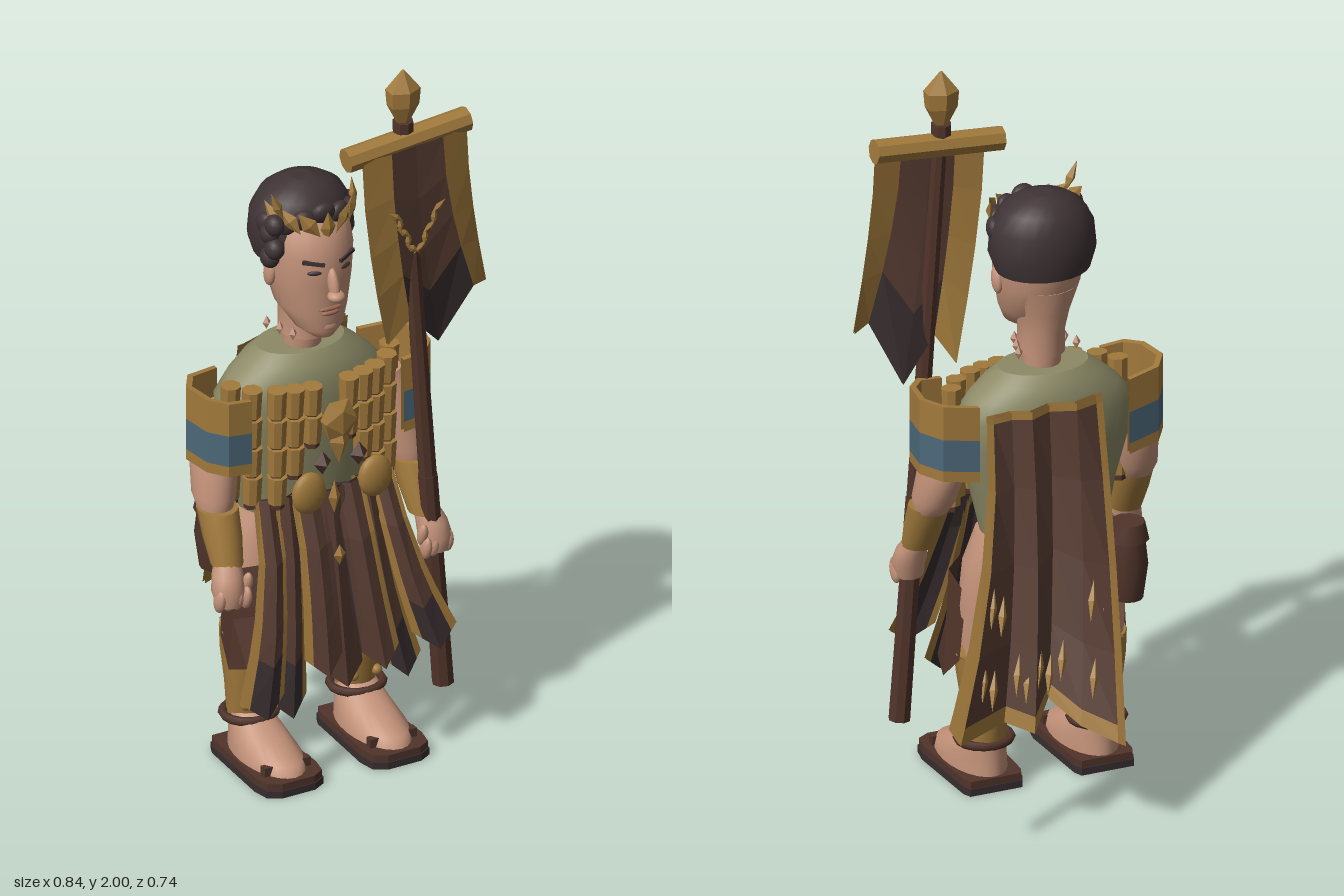
import * as THREE from 'three';

const mat = (name, color) => Object.assign(new THREE.MeshStandardMaterial({ color, side: THREE.DoubleSide }), { name });
const CX = -0.065; // body centre line

export function createModel() {
  const root = new THREE.Group();
  root.name = 'standardBearer';
  const skin = mat('skin', 0xc4937a), hair = mat('hair', 0x3f3335), gold = mat('gold', 0xa27a3c),
    brown = mat('brownCloth', 0x573c32), dark = mat('darkCloth', 0x382d2f), green = mat('greenTunic', 0x8c8a66),
    blue = mat('blueBand', 0x4c687a), leather = mat('leather', 0x50342a), lip = mat('lips', 0xa06a58);

  const add = (name, geo, m, p = [0, 0, 0], s = [1, 1, 1], r = [0, 0, 0]) => {
    const o = new THREE.Mesh(geo, m);
    o.name = name;
    o.position.set(...p); o.scale.set(...s); o.rotation.set(...r);
    root.add(o);
    return o;
  };
  const ball = new THREE.SphereGeometry(1, 16, 12);
  const gem = new THREE.OctahedronGeometry(1);
  const box = new THREE.BoxGeometry(1, 1, 1);

  // smooth closed body from ascending rings [y, cx, cz, rx, rz]
  const loft = (name, rings, m, seg = 24) => {
    const a = rings[0], b = rings[rings.length - 1];
    const all = [[a[0], a[1], a[2], 0, 0], a, ...rings, b, [b[0], b[1], b[2], 0, 0]];
    const pos = [], idx = [];
    all.forEach(([y, cx, cz, rx, rz], i) => {
      for (let j = 0; j < seg; j++) {
        const t = j / seg * Math.PI * 2;
        pos.push(cx + rx * Math.cos(t), y, cz + rz * Math.sin(t));
        if (i === all.length - 1 || i === 1 || i === all.length - 3) continue;
        const p = i * seg + j, q = i * seg + (j + 1) % seg;
        idx.push(p, p + seg, q, q, p + seg, q + seg);
      }
    });
    const g = new THREE.BufferGeometry();
    g.setAttribute('position', new THREE.Float32BufferAttribute(pos, 3));
    g.setIndex(idx);
    g.computeVertexNormals();
    return add(name, g, m);
  };

  // faceted cloth from a grid of points, coloured per cell
  const sheet = (name, rows, pick, shift = 0) => {
    const cells = new Map();
    for (let r = 0; r < rows.length - 1; r++) for (let c = 0; c < rows[r].length - 1; c++) {
      const m = pick(r, c);
      if (!cells.has(m)) cells.set(m, []);
      const [p, q, s, t] = [rows[r][c], rows[r][c + 1], rows[r + 1][c], rows[r + 1][c + 1]];
      for (const v of [p, s, q, q, s, t]) cells.get(m).push(v[0], v[1], v[2] + shift);
    }
    for (const [m, pos] of cells) {
      const g = new THREE.BufferGeometry();
      g.setAttribute('position', new THREE.Float32BufferAttribute(pos, 3));
      g.computeVertexNormals();
      add(name, g, m);
    }
  };
  // rows hanging from a top edge to a bottom edge, bowed in x and z
  const hang = (top, bottom, steps, bowX = 1, bowZ = 1) => steps.map(t => top.map((a, i) => {
    const b = bottom[i];
    return [a[0] + (b[0] - a[0]) * t ** bowX, a[1] + (b[1] - a[1]) * t, a[2] + (b[2] - a[2]) * t ** bowZ];
  }));
  const rod = (name, a, b, r1, r2, m, seg = 8) => {
    const A = new THREE.Vector3(...a), B = new THREE.Vector3(...b);
    const o = add(name, new THREE.CylinderGeometry(r2, r1, A.distanceTo(B), seg).toNonIndexed(), m);
    o.geometry.computeVertexNormals();
    o.position.copy(A).lerp(B, 0.5);
    o.quaternion.setFromUnitVectors(new THREE.Vector3(0, 1, 0), B.sub(A).normalize());
    return o;
  };

  // torso and shorts
  loft('torso', [[0.72, CX, 0.075, 0.175, 0.115], [0.85, CX, 0.08, 0.205, 0.122], [0.98, CX, 0.08, 0.245, 0.132],
    [1.07, CX, 0.08, 0.25, 0.132], [1.12, CX, 0.08, 0.21, 0.125], [1.16, CX, 0.08, 0.165, 0.112],
    [1.19, CX, 0.08, 0.125, 0.085]], green, 32);
  loft('shorts', [[0.47, CX, 0.03, 0.07, 0.06], [0.52, CX, 0.035, 0.135, 0.095], [0.62, CX, 0.045, 0.16, 0.11],
    [0.73, CX, 0.07, 0.175, 0.115]], green);

  // head
  loft('neck', [[1.18, CX, 0.09, 0.05, 0.055], [1.225, CX, 0.092, 0.052, 0.06]], skin);
  loft('nape', [[1.225, CX, 0.093, 0.062, 0.074], [1.29, CX, 0.09, 0.06, 0.075], [1.35, CX, 0.088, 0.072, 0.086],
    [1.42, CX, 0.085, 0.095, 0.097]], skin);
  loft('head', [[1.26, CX, 0.195, 0.032, 0.035], [1.285, CX, 0.175, 0.065, 0.068], [1.34, CX, 0.135, 0.095, 0.11],
    [1.42, CX, 0.12, 0.112, 0.13], [1.5, CX, 0.115, 0.118, 0.138], [1.57, CX, 0.105, 0.114, 0.125],
    [1.63, CX, 0.09, 0.08, 0.08]], skin);
  loft('hairCap', [[1.465, CX, 0.08, 0.128, 0.11], [1.52, CX, 0.085, 0.147, 0.125], [1.59, CX, 0.085, 0.14, 0.122],
    [1.64, CX, 0.085, 0.112, 0.098], [1.665, CX, 0.085, 0.075, 0.065], [1.677, CX, 0.085, 0.03, 0.03]], hair);
  add('nose', ball, skin, [CX, 1.43, 0.258], [0.015, 0.048, 0.02], [-0.3, 0, 0]);
  add('noseTip', ball, skin, [CX, 1.4, 0.272], [0.024, 0.016, 0.024]);
  add('chin', ball, skin, [CX, 1.295, 0.22], [0.035, 0.025, 0.025]);
  add('upperLip', ball, lip, [CX, 1.352, 0.242], [0.034, 0.007, 0.009]);
  add('lowerLip', ball, lip, [CX, 1.338, 0.24], [0.027, 0.008, 0.01]);
  for (const s of [-1, 1]) {
    add('eye', ball, hair, [CX + s * 0.046, 1.465, 0.238], [0.02, 0.007, 0.007], [0, s * 0.4, 0]);
    add('brow', box, hair, [CX + s * 0.05, 1.495, 0.24], [0.06, 0.01, 0.009], [0, s * 0.42, s * 0.18]);
    add('ear', ball, skin, [CX + s * 0.114, 1.43, 0.12], [0.014, 0.038, 0.023], [0.2, 0, 0]);
    // torn neck edge
    for (let i = 0; i < 3; i++) add('neckShard', gem, skin, [CX + s * (0.055 + i * 0.014), 1.242, 0.14 - i * 0.045], [0.012, 0.02, 0.012]);
  }
  // front locks and leaf crown
  for (let i = 0; i < 7; i++) {
    const t = (i - 3) * 0.4, side = Math.abs(Math.sin(t)), x = CX + 0.13 * Math.sin(t), z = 0.09 + 0.125 * Math.cos(t);
    add('hairLock', ball, hair, [x, 1.615 - 0.04 * side, z - 0.015], [0.036, 0.034, 0.022], [0.4, t, i]);
    add('crownLeaf', gem, gold, [x, 1.585 + 0.035 * side, z + 0.014],
      [0.023, 0.046, 0.011], [0, t, i === 3 ? 0 : -Math.sign(t) * 0.7]);
  }
  add('crownTip', gem, gold, [-0.19, 1.655, 0.18], [0.014, 0.05, 0.014], [0, 0, 0.4]);
  for (let i = 0; i < 4; i++) add('sideLock', ball, hair, [-0.19, 1.49 + i * 0.035, 0.14 + (i % 2) * 0.025], [0.026, 0.03, 0.03]);

  // sandal outline
  const soleShape = new THREE.Shape([[-0.075, -0.165], [0.075, -0.165], [0.085, -0.14], [0.095, 0.1], [0.085, 0.15], [0.05, 0.17],
    [-0.05, 0.17], [-0.085, 0.15], [-0.095, 0.1], [-0.085, -0.14]].map(p => new THREE.Vector2(...p)));
  const soleGeo = new THREE.ExtrudeGeometry(soleShape, { depth: 0.02, bevelEnabled: false });

  for (const s of [-1, 1]) {
    const X = d => CX + s * d;
    // arms
    loft('upperArm', [[0.79, X(0.293), 0.145, 0.045, 0.05], [0.83, X(0.29), 0.132, 0.056, 0.068],
      [0.92, X(0.277), 0.11, 0.06, 0.08], [0.99, X(0.265), 0.108, 0.055, 0.078], [1.06, X(0.235), 0.105, 0.045, 0.06]], skin);
    loft('bracer', [[0.66, X(0.298), 0.215, 0.043, 0.045], [0.73, X(0.295), 0.185, 0.052, 0.055],
      [0.8, X(0.293), 0.155, 0.055, 0.06]], gold, 14);
    loft('hand', [[0.56, X(0.31), 0.25, 0.036, 0.036], [0.6, X(0.312), 0.247, 0.046, 0.044],
      [0.64, X(0.308), 0.235, 0.042, 0.042], [0.68, X(0.298), 0.215, 0.034, 0.034]], skin, 16);
    for (let i = 0; i < 4; i++)
      add('finger', ball, skin, [X(0.272 + i * 0.024), 0.577, 0.27 - i * 0.004], [0.014, 0.036, 0.022], [0.3, 0, 0]);
    add('thumb', ball, skin, [X(0.265), 0.615, 0.265], [0.014, 0.035, 0.016], [0.3, 0, 0]);

    // banded sleeve guard with a lining and a rim
    const plan = [[0.215, 0.003], [0.31, 0.028], [0.35, 0.09], [0.338, 0.18], [0.298, 0.225], [0.23, 0.228]];
    const inner = [[0.215, 0.018], [0.3, 0.042], [0.333, 0.093], [0.322, 0.173], [0.29, 0.21], [0.23, 0.213]];
    const band = p => [1.14, 1.045, 0.955, 0.925].map(y => p.map(([d, z]) => [X(d), y - (0.35 - d) * 0.1, z]));
    const [out, lin] = [band(plan), band(inner)];
    sheet('sleeveGuard', out, r => [gold, blue, gold][r]);
    sheet('sleeveLining', lin, () => gold);
    for (const r of [0, 3]) sheet('sleeveRim', [out[r], lin[r]], () => gold);

    // legs and sandals
    loft('thigh', [[0.36, X(0.163), 0.095, 0.066, 0.078], [0.52, X(0.155), 0.085, 0.078, 0.088],
      [0.64, X(0.135), 0.08, 0.088, 0.092], [0.73, X(0.115), 0.075, 0.075, 0.085]], skin);
    loft('greave', [[0.13, X(0.163), 0.085, 0.054, 0.055], [0.22, X(0.163), 0.088, 0.06, 0.066],
      [0.32, X(0.163), 0.093, 0.072, 0.088], [0.385, X(0.163), 0.096, 0.076, 0.09]], gold, 14);
    for (let i = 0; i < 4; i++) {
      const t = Math.PI * (i / 2 + 0.5);
      add('greavePeak', gem, gold, [X(0.163) + 0.066 * Math.cos(t), 0.38, 0.096 + 0.078 * Math.sin(t)], [0.045, i ? 0.04 : 0.075, 0.014], [0, Math.PI / 2 - t, 0]);
    }
    for (const dx of [-0.035, 0.035]) add('greaveStud', ball, gold, [X(0.163 + dx), 0.175, 0.14], [0.015, 0.015, 0.015]);
    loft('foot', [[0.035, X(0.16), 0.185, 0.08, 0.155], [0.065, X(0.16), 0.178, 0.078, 0.145],
      [0.1, X(0.16), 0.135, 0.066, 0.1], [0.145, X(0.162), 0.09, 0.05, 0.055]], skin);
    add('outsole', soleGeo, dark, [X(0.16), 0.02, 0.185], [1, 1, 1], [Math.PI / 2, 0, 0]);
    add('sandalSole', soleGeo, leather, [X(0.16), 0.04, 0.185], [0.97, 0.98, 1], [Math.PI / 2, 0, 0]);
    add('ankleStrap', new THREE.TorusGeometry(0.066, 0.012, 6, 16), leather, [X(0.162), 0.13, 0.095], [1.08, 1, 1], [Math.PI / 2, 0, 0]);
    add('toeStrap', box, leather, [X(0.16), 0.05, 0.285], [0.14, 0.03, 0.022]);

    // chest tube columns
    [13, 25, 37, 56, 78].forEach((deg, i) => {
      const t = deg * Math.PI / 180, x = X(0.245 * Math.sin(t)), z = 0.1 + 0.142 * Math.cos(t);
      const count = Math.min(4, 2 + i);
      for (let k = 0; k < count; k++) {
        rod('chestTube', [x, 1.056 - k * 0.085, z], [x, 1.135 - k * 0.085, z + 0.004], 0.025, 0.028, gold);
        rod('tubeJoint', [x, 1.04 - k * 0.085, z], [x, 1.06 - k * 0.085, z], 0.021, 0.021, leather, 6);
      }
    });
    add('chestDisc', ball, gold, [X(0.1), 0.855, 0.302], [0.05, 0.06, 0.025]);
    add('chestKnot', gem, leather, [X(0.055), 0.93, 0.295], [0.026, 0.035, 0.025]);
    // side flaps
    sheet('sideFlap', hang([[X(0.17), 0.62, 0.21], [X(0.235), 0.6, 0.16], [X(0.225), 0.56, 0.07]],
      [[X(0.24), 0.33, 0.22], [X(0.255), 0.3, 0.15], [X(0.24), 0.37, 0.08]], [0, 0.5, 1]), () => leather);
  }

  // chest emblem
  add('emblem', new THREE.IcosahedronGeometry(1, 0).toNonIndexed(), gold, [CX, 1.04, 0.285], [0.055, 0.065, 0.03]);
  add('emblemPoint', gem, gold, [CX, 0.98, 0.288], [0.03, 0.07, 0.025]);
  add('pendant', gem, gold, [CX, 0.8, 0.262], [0.018, 0.05, 0.015]);

  // skirt strips: top x, bottom x, half widths, bottom y, bottom z, tip
  for (const [x0, x1, w0, w1, y1, z1, tip] of [
    [-0.235, -0.315, 0.035, 0.065, 0.24, 0.35, dark], [-0.18, -0.215, 0.035, 0.055, 0.2, 0.31, dark],
    [-0.125, -0.14, 0.045, 0.055, 0.33, 0.37, brown], [CX, -0.05, 0.045, 0.06, 0.25, 0.31, brown],
    [0.0, 0.03, 0.045, 0.055, 0.31, 0.37, brown], [0.055, 0.125, 0.035, 0.055, 0.24, 0.32, dark],
    [0.11, 0.2, 0.035, 0.065, 0.32, 0.36, dark]]) {
    const side = Math.sign(x0 - CX);
    const cols = [-1, -0.68, 0, 0.68, 1];
    const top = cols.map(c => [x0 + c * w0, 0.81, 0.235 - Math.abs(x0 - CX) * 0.2 + (c ? 0 : 0.012)]);
    const bottom = cols.map(c => [x1 + c * w1, y1 + Math.abs(c) * 0.05, z1 - Math.abs(c) * 0.03]);
    const rows = hang(top, bottom, [0, 0.3, 0.6, 0.76, 1], 1.8, 0.7);
    // gold hems: both edges on dark-tipped strips, outer edge on the others
    const hem = c => side && c % 3 === 0 && (tip === dark || c === (side < 0 ? 0 : 3));
    sheet('skirtStrip', rows, (r, c) => hem(c) ? gold : r > 2 ? tip : brown);
    sheet('skirtLining', rows, (r, c) => hem(c) ? gold : dark, -0.009);
  }
  add('skirtGem', gem, gold, [CX, 0.64, 0.29], [0.018, 0.03, 0.012]);

  // belt pouches
  for (const [x, y, z, r, h] of [[-0.262, 0.615, -0.025, 0.054, 0.2], [-0.165, 0.61, -0.03, 0.048, 0.16], [-0.1, 0.62, -0.045, 0.034, 0.12]]) {
    loft('pouch', [[y - h / 2, x, z, r * 0.75, r * 0.75], [y, x, z, r, r], [y + h / 2, x, z, r * 0.8, r * 0.8]], leather, 12);
    loft('pouchLid', [[y + h * 0.35, x, z, r * 1.05, r * 1.05], [y + h * 0.6, x, z, r * 0.85, r * 0.85]], leather, 12);
  }

  // cape
  const capeX = [-0.175, -0.155, -0.09, -0.02, 0.04, 0.09, 0.145, 0.16];
  const capeZ = [-0.055, -0.058, -0.08, -0.06, -0.085, -0.065, -0.07, -0.07];
  const capeEnd = [[-0.1, 0.26, -0.37], [-0.08, 0.27, -0.365], [0, 0.31, -0.305], [0.06, 0.37, -0.23],
    [0.13, 0.31, -0.3], [0.2, 0.34, -0.26], [0.375, 0.35, -0.37], [0.395, 0.39, -0.35]];
  const cape = hang(capeX.map((x, i) => [x, 1.13, capeZ[i]]), capeEnd, [0, 0.025, 0.25, 0.5, 0.75, 0.95, 1], 1.8, 1.2);
  const trim = main => (r, c) => r === 0 || r === 5 || c === 0 || c === 6 ? gold : main;
  sheet('cape', cape, trim(brown));
  sheet('capeLining', cape, trim(dark), 0.012);
  // gold leaf marks on the cape
  for (const [r, c] of [[4, 1], [4, 2], [4, 3], [4, 4], [4, 5], [3, 1], [3, 5]]) {
    const [a, b] = [cape[r][c], cape[r + 1][c + 1]];
    for (const d of [-0.014, 0.014])
      add('capeLeaf', gem, gold, [(a[0] + b[0]) / 2 + d, (a[1] + b[1]) / 2 + d, (a[2] + b[2]) / 2 - 0.006], [0.012, 0.056, 0.01], [0.4, 0, 0.25]);
  }

  // standard: pole, crossbar, finial
  rod('poleGrip', [0.273, 0.15, 0.245], [0.228, 0.78, 0.243], 0.03, 0.027, leather);
  rod('pole', [0.228, 0.78, 0.243], [0.156, 1.85, 0.238], 0.025, 0.02, leather);
  rod('crossbar', [-0.018, 1.775, 0.24], [0.348, 1.805, 0.24], 0.034, 0.034, gold);
  for (const [y0, y1, r0, r1] of [[1.85, 1.9, 0.02, 0.046], [1.9, 1.945, 0.046, 0.05], [1.945, 2, 0.05, 0.004]])
    rod('finial', [0.155, y0, 0.24], [0.155, y1, 0.24], r0, r1, gold, 6).scale.z = 0.75;
  rod('finialCollar', [0.155, 1.82, 0.24], [0.155, 1.85, 0.24], 0.028, 0.028, leather);

  // banner cloth
  const banner = hang([[0.02, 1.775, 0.268], [0.1, 1.78, 0.278], [0.175, 1.785, 0.274], [0.255, 1.79, 0.278], [0.335, 1.795, 0.262]],
    [[0.13, 1.17, 0.205], [0.18, 1.25, 0.235], [0.285, 1.14, 0.2], [0.36, 1.31, 0.255], [0.415, 1.3, 0.225]],
    [0, 0.25, 0.5, 0.72, 1], 1.7, 2.2);
  const bannerColour = (r, c) => c % 3 === 0 ? gold : r === 3 ? dark : brown;
  sheet('banner', banner, bannerColour);
  sheet('bannerBack', banner, bannerColour, -0.008);
  // laurel on the banner
  for (const s of [-1, 1]) for (let i = 0; i < 5; i++)
    add('bannerLaurel', gem, gold, [0.178 + s * (0.012 + i * 0.013), 1.48 + i * 0.027, 0.271 + i * 0.001],
      [0.01, 0.028, 0.006], [0, 0, -s * (i % 2 ? 0.1 : 0.9)]);

  return root;
}
